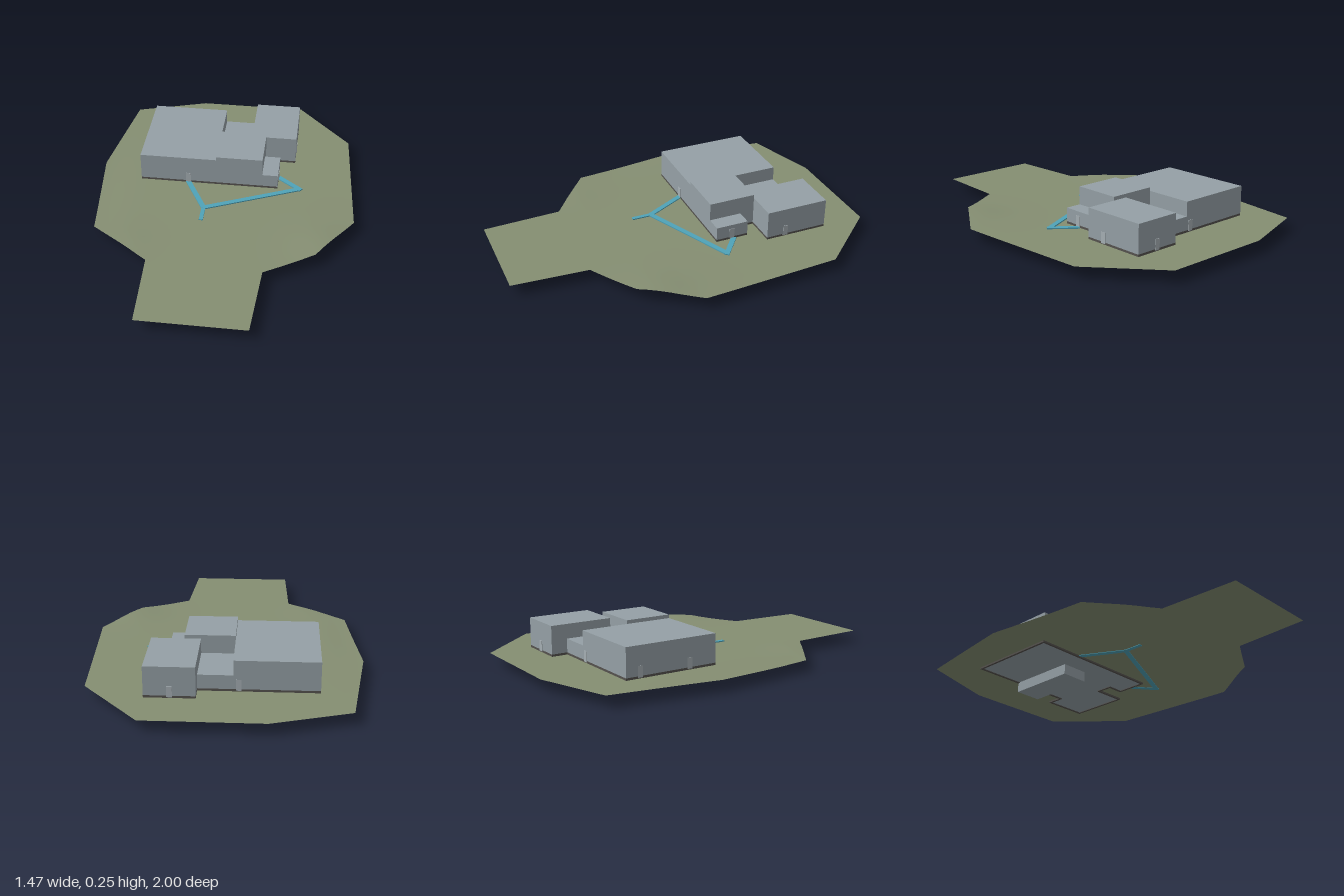
import * as THREE from 'three';

const mat = (name, color, side = THREE.FrontSide) => {
  const m = new THREE.MeshStandardMaterial({ color, side });
  m.name = name;
  return m;
};

export function createModel() {
  const grass = mat('grass', 0x858e72, THREE.DoubleSide);
  const wall = mat('wall grey', 0x95a0a6);
  const base = mat('foundation', 0x55524e);
  const water = mat('path blue', 0x4fa3b8);
  const doorMat = mat('door grey', 0xa6afb4);

  const model = new THREE.Group();
  model.name = 'buildingSite';
  const add = (name, geometry, material) => {
    const m = new THREE.Mesh(geometry, material);
    m.name = name;
    model.add(m);
    return m;
  };
  // Box given by its limits on each axis
  const box = (name, x0, x1, y0, y1, z0, z1, material) =>
    add(name, new THREE.BoxGeometry(x1 - x0, y1 - y0, z1 - z0), material)
      .position.set((x0 + x1) / 2, (y0 + y1) / 2, (z0 + z1) / 2);

  // Ground: rings from a centre out to the plot boundary, gently uneven
  const outline = [
    [-0.24, -1], [0.38, -1], [0.69, -0.65], [0.735, 0.12], [0.54, 0.42], [0.275, 0.58],
    [0.25, 1], [-0.32, 1], [-0.34, 0.56], [-0.67, 0.32], [-0.735, -0.27], [-0.65, -0.87],
  ];
  const bump = (x, z, cx, cz, rx, rz) => Math.exp(-(((x - cx) / rx) ** 2) - ((z - cz) / rz) ** 2);
  const height = (x, z) => 0.063
    + 0.015 * bump(x, z, 0.58, 0.33, 0.16, 0.17)
    - 0.007 * bump(x, z, -0.68, 0.1, 0.1, 0.35)
    + 0.005 * bump(x, z, -0.45, 0.4, 0.08, 0.1);
  const rings = 16, sub = 6, around = outline.length * sub;
  const [cx, cz] = [-0.04, 0.2];
  const pos = [], index = [];
  for (let r = 0; r <= rings; r++) {
    for (let i = 0; i < around; i++) {
      const k = Math.floor(i / sub), f = (i % sub) / sub, t = r / rings;
      const a = outline[k], b = outline[(k + 1) % outline.length];
      const x = cx + (a[0] + (b[0] - a[0]) * f - cx) * t;
      const z = cz + (a[1] + (b[1] - a[1]) * f - cz) * t;
      pos.push(x, height(x, z), z);
      if (r === rings) continue;
      const j = (i + 1) % around, p = r * around, q = p + around;
      index.push(p + i, q + j, q + i);
      if (r > 0) index.push(p + i, p + j, q + j);
    }
  }
  const ground = new THREE.BufferGeometry();
  ground.setAttribute('position', new THREE.Float32BufferAttribute(pos, 3));
  ground.setIndex(index);
  ground.computeVertexNormals();
  add('ground', ground, grass);

  // Foundation rim and floor slab follow the footprint (x, -z)
  const footprint = [
    [-0.495, 0.14], [0.295, 0.14], [0.295, 0.325], [0.205, 0.325], [0.205, 0.405],
    [0.38, 0.405], [0.38, 0.76], [0.12, 0.76], [0.12, 0.67], [-0.495, 0.67],
  ].map(([x, y]) => new THREE.Vector2(x, y));
  const inset = (pts, d) => pts.map((p, i) => {
    const a = p.clone().sub(pts[(i + pts.length - 1) % pts.length]).normalize();
    const b = pts[(i + 1) % pts.length].clone().sub(p).normalize();
    return new THREE.Vector2(p.x - (a.y + b.y) * d, p.y + (a.x + b.x) * d);
  });
  const slab = (shape, y0, y1) =>
    new THREE.ExtrudeGeometry(shape, { depth: y1 - y0, bevelEnabled: false })
      .rotateX(-Math.PI / 2).translate(0, y0, 0);
  const rim = new THREE.Shape(footprint);
  rim.holes.push(new THREE.Path(inset(footprint, 0.012)));
  add('foundationRim', slab(rim, 0.054, 0.075), base);
  add('floor', slab(new THREE.Shape(inset(footprint, 0.012)), 0.058, 0.072), wall);

  // Building volumes
  const y0 = 0.075;
  box('mainHall', -0.495, -0.06, y0, 0.23, -0.67, -0.14, wall);
  box('centralBlock', -0.06, 0.205, y0, 0.25, -0.405, -0.14, wall);
  box('connector', -0.06, 0.12, y0, 0.15, -0.67, -0.405, wall);
  box('backBlock', 0.12, 0.38, y0, 0.23, -0.76, -0.405, wall);
  box('porch', 0.205, 0.295, y0, 0.15, -0.325, -0.14, wall);
  box('basement', -0.21, -0.055, 0, 0.06, -0.67, -0.275, wall);

  // Doors: thin plates on the walls, facing along z or x
  const t = 0.003, w = 0.014, d0 = 0.068, d1 = 0.127;
  for (const [x, z] of [[-0.22, -0.14], [0.25, -0.76], [-0.087, -0.67]])
    box('door', x - w, x + w, d0, d1, z - t, z + t, doorMat);
  for (const [x, z] of [[0.295, -0.23], [0.38, -0.515], [-0.495, -0.59], [-0.495, -0.3]])
    box('door', x - t, x + t, d0, d1, z - w, z + w, doorMat);

  // Footpaths: flat strips between points (x, z)
  const paths = [
    [-0.22, -0.14, -0.1, 0.09], [-0.1, 0.08, -0.1, 0.2],
    [-0.1, 0.09, 0.42, -0.145], [0.425, -0.14, 0.3, -0.24],
  ];
  paths.forEach(([xa, za, xb, zb], i) => {
    const len = Math.hypot(xb - xa, zb - za) + (i === 1 ? 0 : 0.012);
    const strip = add('footpath', new THREE.BoxGeometry(len, 0.009, i === 1 ? 0.022 : 0.028), water);
    strip.position.set((xa + xb) / 2, 0.0645 + i * 0.0002, (za + zb) / 2);
    strip.rotation.y = -Math.atan2(zb - za, xb - xa);
  });

  return model;
}
